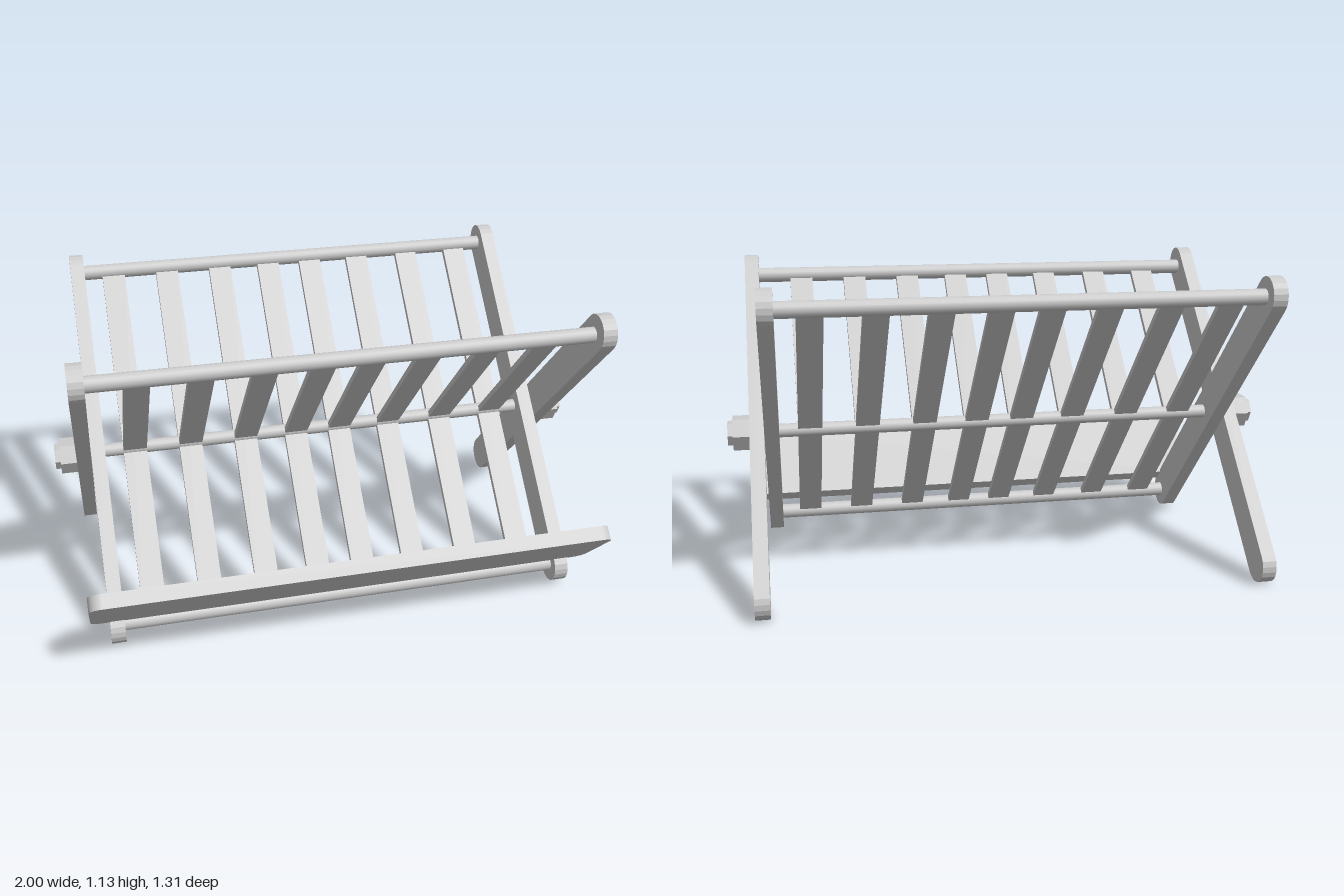
import * as THREE from 'three';

const smooth = new THREE.MeshStandardMaterial({ color: 0xcccccc });
const flat = new THREE.MeshStandardMaterial({ color: 0xcccccc, flatShading: true });

function add(parent, name, geometry, material, x = 0, y = 0, z = 0) {
  const mesh = new THREE.Mesh(geometry, material);
  mesh.name = name;
  mesh.position.set(x, y, z);
  parent.add(mesh);
  return mesh;
}

// Bar with rounded ends, running along y, thickness along x
function legGeometry(bottom, top, radius, thickness) {
  const shape = new THREE.Shape();
  shape.absarc(0, top, radius, 0, Math.PI, false);
  shape.absarc(0, bottom, radius, Math.PI, Math.PI * 2, false);
  shape.closePath();
  return new THREE.ExtrudeGeometry(shape, { depth: thickness, bevelEnabled: false, curveSegments: 5 })
    .translate(0, 0, -thickness / 2)
    .rotateY(Math.PI / 2);
}

// Cylinder lying along x
function rodGeometry(radius, length, sides) {
  return new THREE.CylinderGeometry(radius, radius, length, sides).rotateZ(Math.PI / 2);
}

// Thin board with rounded corners, centred on the origin
function boardGeometry(width, height, thickness, r) {
  const w = width / 2, h = height / 2, q = Math.PI / 2;
  const shape = new THREE.Shape();
  shape.absarc(w - r, h - r, r, 0, q, false);
  shape.absarc(-w + r, h - r, r, q, 2 * q, false);
  shape.absarc(-w + r, -h + r, r, 2 * q, 3 * q, false);
  shape.absarc(w - r, -h + r, r, 3 * q, 4 * q, false);
  shape.closePath();
  return new THREE.ExtrudeGeometry(shape, { depth: thickness, bevelEnabled: false, curveSegments: 6 })
    .translate(0, 0, -thickness / 2);
}

const slatX = [0.086, 0.283, 0.495, 0.705];

// One leaf of the rack: two legs, cross rods and a row of slats
function makeFrame(name, { tilt, legX, bottom, top, rods, slatFrom, slatTo }) {
  const frame = new THREE.Group();
  frame.name = name;
  frame.position.set(0, 0.533, -0.063);
  frame.rotation.x = tilt;
  for (const side of [-1, 1]) {
    add(frame, 'leg', legGeometry(bottom, top, 0.066, 0.052), flat, side * legX);
    for (const x of slatX) {
      add(frame, 'slat', new THREE.BoxGeometry(0.087, slatTo - slatFrom, 0.02), flat,
        side * x, (slatFrom + slatTo) / 2);
    }
  }
  for (const y of rods) add(frame, 'crossRod', rodGeometry(0.028, legX * 2, 20), smooth, 0, y);
  return frame;
}

export function createModel() {
  const model = new THREE.Group();
  model.name = 'foldingRack';

  // Outer leaf leans forward, slatted only above the pivot
  model.add(makeFrame('outerFrame', {
    tilt: THREE.MathUtils.degToRad(43.9), legX: 0.896, bottom: -0.65, top: 0.734,
    rods: [0.717], slatFrom: 0.01, slatTo: 0.717,
  }));

  // Inner leaf leans back, slatted along its whole length
  model.add(makeFrame('innerFrame', {
    tilt: -Math.PI / 4, legX: 0.843, bottom: -0.648, top: 0.745,
    rods: [-0.645, 0.738], slatFrom: -0.645, slatTo: 0.738,
  }));

  // Pivot rod with hexagonal nuts and bolt ends
  add(model, 'pivotRod', rodGeometry(0.025, 1.8, 20), smooth, 0, 0.537, -0.067);
  for (const side of [-1, 1]) {
    add(model, 'nut', rodGeometry(0.066, 0.06, 6), flat, side * 0.951, 0.535, -0.064);
    add(model, 'boltEnd', rodGeometry(0.047, 0.03, 6), flat, side * 0.985, 0.535, -0.064);
  }

  // Front board resting on the lower ends of the inner legs
  const board = add(model, 'frontBoard', boardGeometry(1.872, 0.314, 0.052, 0.045), flat, 0, 0.246, 0.526);
  board.rotation.x = Math.PI / 4;

  return model;
}
